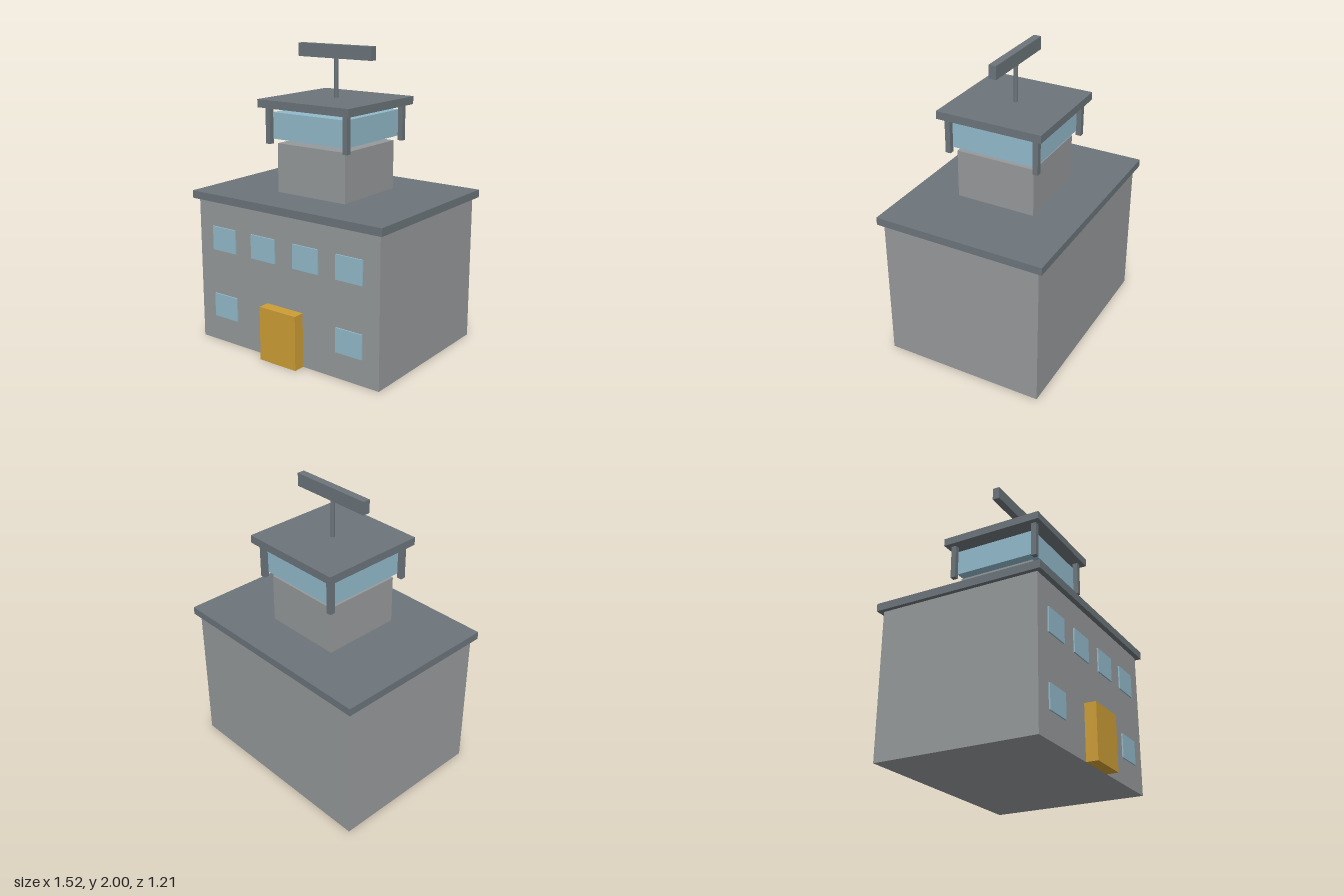
import * as THREE from 'three';

export function createModel() {
  const mat = (name, color) => {
    const m = new THREE.MeshStandardMaterial({ color });
    m.name = name;
    return m;
  };
  const wall = mat('wallGrey', 0x96999b);
  const slate = mat('slateGrey', 0x6c757b);
  const glass = mat('paleBlueGlass', 0x92bacb);
  const amber = mat('amberDoor', 0xcd9d35);

  const model = new THREE.Group();
  model.name = 'controlTower';
  const CZ = -0.023; // shared centre of the stacked blocks
  const FRONT = 0.524; // front wall plane

  // Box of width w, depth d, standing from y0 to y1
  const block = (name, material, w, y0, y1, d, x = 0, z = CZ) => {
    const mesh = new THREE.Mesh(new THREE.BoxGeometry(w, y1 - y0, d), material);
    mesh.position.set(x, (y0 + y1) / 2, z);
    mesh.name = name;
    model.add(mesh);
  };

  // Main building and tower shaft
  block('mainBuilding', wall, 1.46, 0, 0.985, 1.095);
  block('mainRoof', slate, 1.52, 0.985, 1.037, 1.163);
  block('towerShaft', wall, 0.546, 1.037, 1.365, 0.546);

  // Glazed cab with corner posts and roof
  block('cabGlass', glass, 0.586, 1.396, 1.571, 0.586);
  for (const sx of [-1, 1]) {
    for (const sz of [-1, 1]) {
      block('cabPost', slate, 0.036, 1.365, 1.605, 0.036, sx * 0.309, CZ + sz * 0.309);
    }
  }
  block('cabRoof', slate, 0.727, 1.604, 1.657, 0.727);

  // Radar mast and bar
  const mast = new THREE.Mesh(new THREE.CylinderGeometry(0.015, 0.015, 0.257, 12), slate);
  mast.position.set(0, 1.784, CZ);
  mast.name = 'radarMast';
  model.add(mast);
  block('radarBar', slate, 0.582, 1.912, 2, 0.051);

  // Front door and windows
  block('frontDoor', amber, 0.292, 0, 0.365, 0.079, 0, FRONT + 0.0395);
  for (const x of [-0.509, -0.173, 0.173, 0.509]) {
    block('upperWindow', glass, 0.2, 0.648, 0.81, 0.0098, x, FRONT + 0.005);
  }
  for (const x of [-0.509, 0.509]) {
    block('lowerWindow', glass, 0.2, 0.175, 0.338, 0.0098, x, FRONT + 0.005);
  }
  return model;
}
